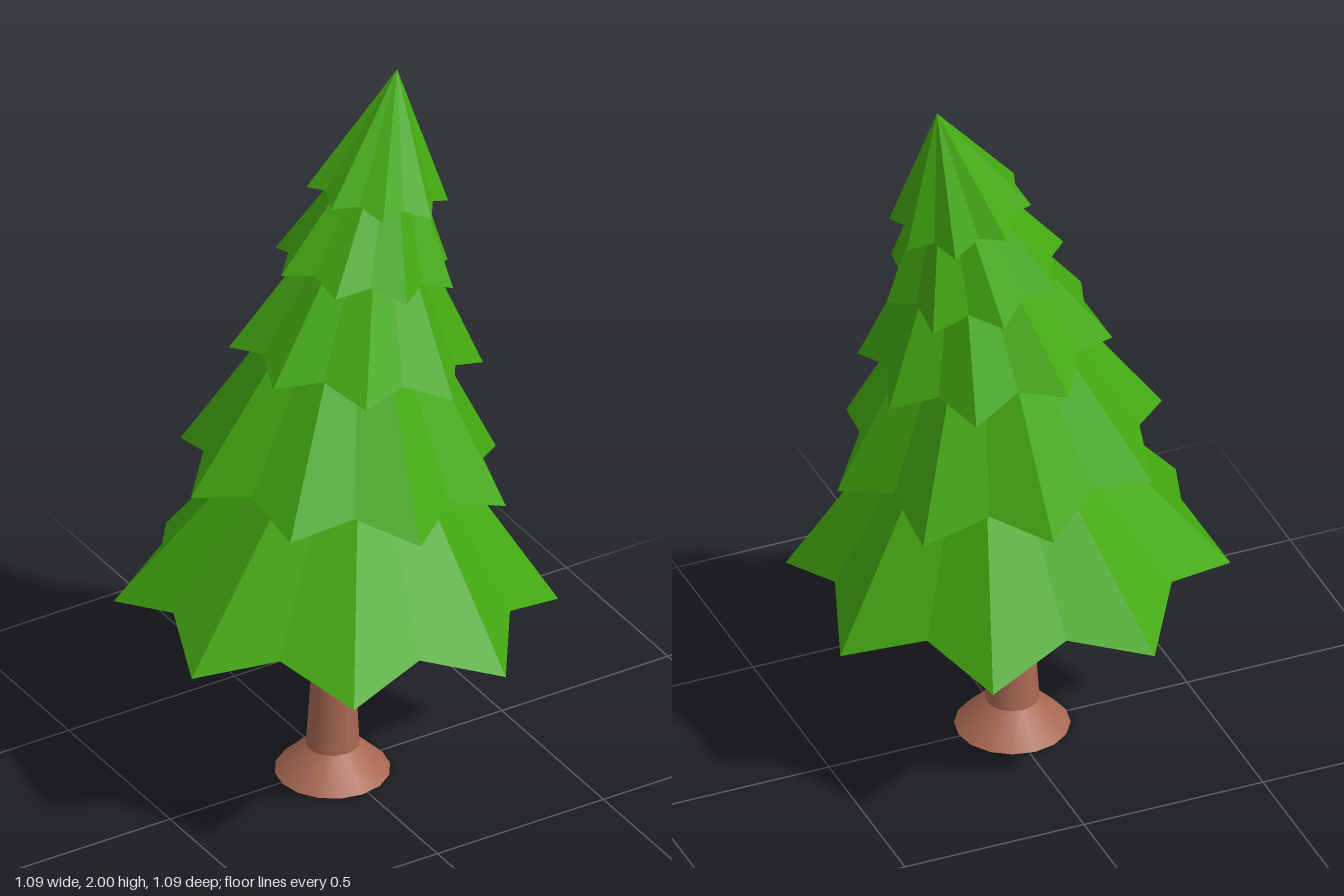
import * as THREE from 'three';

const green = new THREE.MeshStandardMaterial({ color: 0x44aa11 });
green.name = 'needle green';
green.flatShading = true;
const brown = new THREE.MeshStandardMaterial({ color: 0xa86852, side: THREE.DoubleSide });
brown.name = 'bark brown';

// Star-rimmed cone: eight drooping tips, raised notches between, tilted rim, off-centre apex.
function tierGeometry({ centre, radius, slope, apex, phase }) {
  const [cx, cy, cz] = centre;
  const rim = [];
  for (let i = 0; i < 16; i++) {
    const notch = i % 2 === 1;
    const a = THREE.MathUtils.degToRad(phase + i * 22.5);
    const r = radius * (notch ? 0.82 : 1);
    const dx = r * Math.cos(a), dz = r * Math.sin(a);
    const lift = notch ? 0.12 * radius : 0;
    rim.push([cx + dx, cy + slope[0] * dx + slope[1] * dz + lift, cz + dz]);
  }
  const under = [cx, cy + 0.16 * radius, cz];
  const points = [];
  rim.forEach((p, i) => {
    const next = rim[(i + 1) % 16];
    points.push(...apex, ...next, ...p); // outer face
    points.push(...under, ...p, ...next); // underside
  });
  const geometry = new THREE.BufferGeometry();
  geometry.setAttribute('position', new THREE.Float32BufferAttribute(points, 3));
  geometry.computeVertexNormals();
  return geometry;
}

export function createModel() {
  const group = new THREE.Group();
  group.name = 'pineTree';

  const add = (name, geometry, material) => {
    const mesh = new THREE.Mesh(geometry, material);
    mesh.name = name;
    group.add(mesh);
    return mesh;
  };

  // Flared root collar
  add('rootCollar', new THREE.CylinderGeometry(0.07, 0.15, 0.08, 16, 1, true), brown)
    .position.set(-0.015, 0.04, 0.007);

  // Trunk, tapering and leaning slightly toward +x
  const trunk = new THREE.CylinderGeometry(0.052, 0.07, 0.58, 16, 5, true);
  trunk.translate(0, 0.37, 0);
  const pos = trunk.attributes.position;
  for (let i = 0; i < pos.count; i++) {
    const t = (pos.getY(i) - 0.08) / 0.58;
    const pinch = 1 - 0.3 * t * (1 - t);
    pos.setX(i, pos.getX(i) * pinch - 0.015 + 0.022 * t * t);
    pos.setZ(i, pos.getZ(i) * pinch + 0.007 + 0.005 * t);
  }
  trunk.computeVertexNormals();
  add('trunk', trunk, brown);

  // Foliage tiers from bottom to top, alternating by half a point
  const tiers = [
    { centre: [0, 0.502, 0], radius: 0.573, slope: [-0.06, 0.02], apex: [0.08, 1.27, -0.01] },
    { centre: [0.028, 0.877, -0.01], radius: 0.44, slope: [-0.109, 0.04], apex: [0.1, 1.62, -0.04] },
    { centre: [0.075, 1.21, -0.025], radius: 0.328, slope: [-0.155, 0.04], apex: [0.16, 1.77, -0.045] },
    { centre: [0.11, 1.455, -0.04], radius: 0.24, slope: [-0.19, 0.08], apex: [0.21, 1.9, -0.06] },
    { centre: [0.155, 1.66, -0.05], radius: 0.183, slope: [-0.21, 0.05], apex: [0.23, 2, -0.075] },
  ];
  tiers.forEach((tier, i) => {
    const phase = i % 2 ? 4.5 : -18.2;
    add(`foliageTier${i + 1}`, tierGeometry({ ...tier, phase }), green);
  });

  return group;
}
